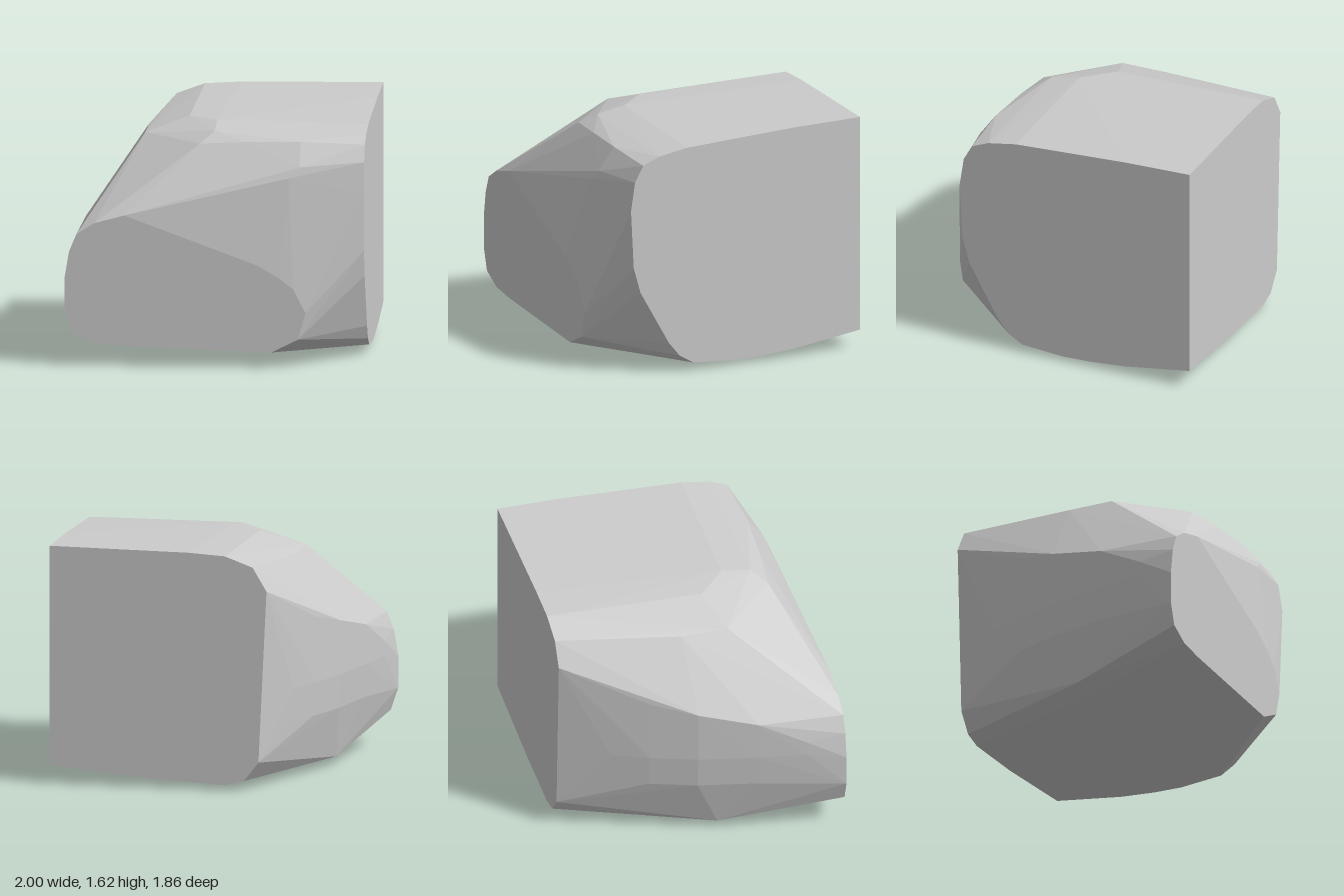
import * as THREE from 'three';
import { ConvexGeometry } from 'three/addons/geometries/ConvexGeometry.js';

// Turns [a, b] pairs into points lying in a plane.
const plane = (pairs, place) => pairs.map(([a, b]) => new THREE.Vector3(...place(a, b)));

export function createModel() {
  // Flat cap on the right end, outline as z, y
  const sideCap = plane([
    [-0.93, 0.13], [-0.45, 0.06], [-0.2, 0.04], [0, 0.035], [0.3, 0.06], [0.4, 0.12],
    [0.48, 0.22], [0.69, 0.6], [0.74, 0.78], [0.76, 1.18], [0.73, 1.38], [0.67, 1.49],
    [0.55, 1.54], [0.35, 1.575], [0, 1.593], [-0.45, 1.615], [-0.93, 1.625],
  ], (z, y) => [1, y, z]);

  // Flat cap at the front, outline as x, y
  const frontCap = plane([
    [-1, 0.38], [-1, 0.6], [-0.97, 0.78], [-0.92, 0.9], [-0.8, 0.975], [-0.6, 1.03],
    [0.3, 0.7], [0.45, 0.61], [0.54, 0.54], [0.62, 0.38], [0.57, 0.2], [0.39, 0.11],
    [-0.6, 0.14], [-0.8, 0.16], [-0.95, 0.23],
  ], (x, y) => [x, y, 0.93]);

  // Flat cap at the back, outline as x, y
  const backCap = plane([
    [0.05, 1.615], [-0.2, 1.6], [-0.39, 1.53], [-0.485, 1.37], [-0.43, 0.2],
    [-0.33, 0.07], [-0.2, 0.037], [0.29, 0.06],
  ], (x, y) => [x, y, -0.93]);

  // Curved wall on the other end: x, z, top height
  const wall = [
    [-0.6, -0.6, 1.2], [-0.7, -0.36, 1.1], [-0.81, -0.05, 1.02],
    [-0.9, 0.35, 0.92], [-0.96, 0.67, 0.75],
  ].flatMap(([x, z, top]) => [
    new THREE.Vector3(x, top, z), new THREE.Vector3(x - 0.002, 0.65, z), new THREE.Vector3(x + 0.015, 0.42, z),
  ]);

  // Rounded shoulders of the roof and the low points of the belly
  const shoulders = [
    [-0.51, 1.475, 0.24], [-0.51, 1.475, -0.08], [-0.11, 1.475, 0.64], [0.2, 1.495, 0.67],
    [0.57, 1.505, 0.69], [-0.22, 1.575, 0.14], [-0.02, 1.583, 0.34], [-0.02, 1.545, 0.54],
    [0.5, 1.28, 0.83], [0.57, 1.35, 0.8],
  ].map(p => new THREE.Vector3(...p));
  const belly = [
    [-0.75, 0.06, 0.1], [-0.6, 0.02, 0.1], [-0.4, 0.002, -0.05], [-0.1, 0.01, 0], [0.4, 0.022, 0],
  ].map(p => new THREE.Vector3(...p));

  const body = new THREE.Mesh(
    new ConvexGeometry([...sideCap, ...frontCap, ...backCap, ...wall, ...shoulders, ...belly]),
    new THREE.MeshStandardMaterial({ color: 0xcccccc, flatShading: true })
  );
  body.name = 'roundedBlock';

  const group = new THREE.Group();
  group.name = 'cutBlock';
  group.add(body);
  return group;
}
